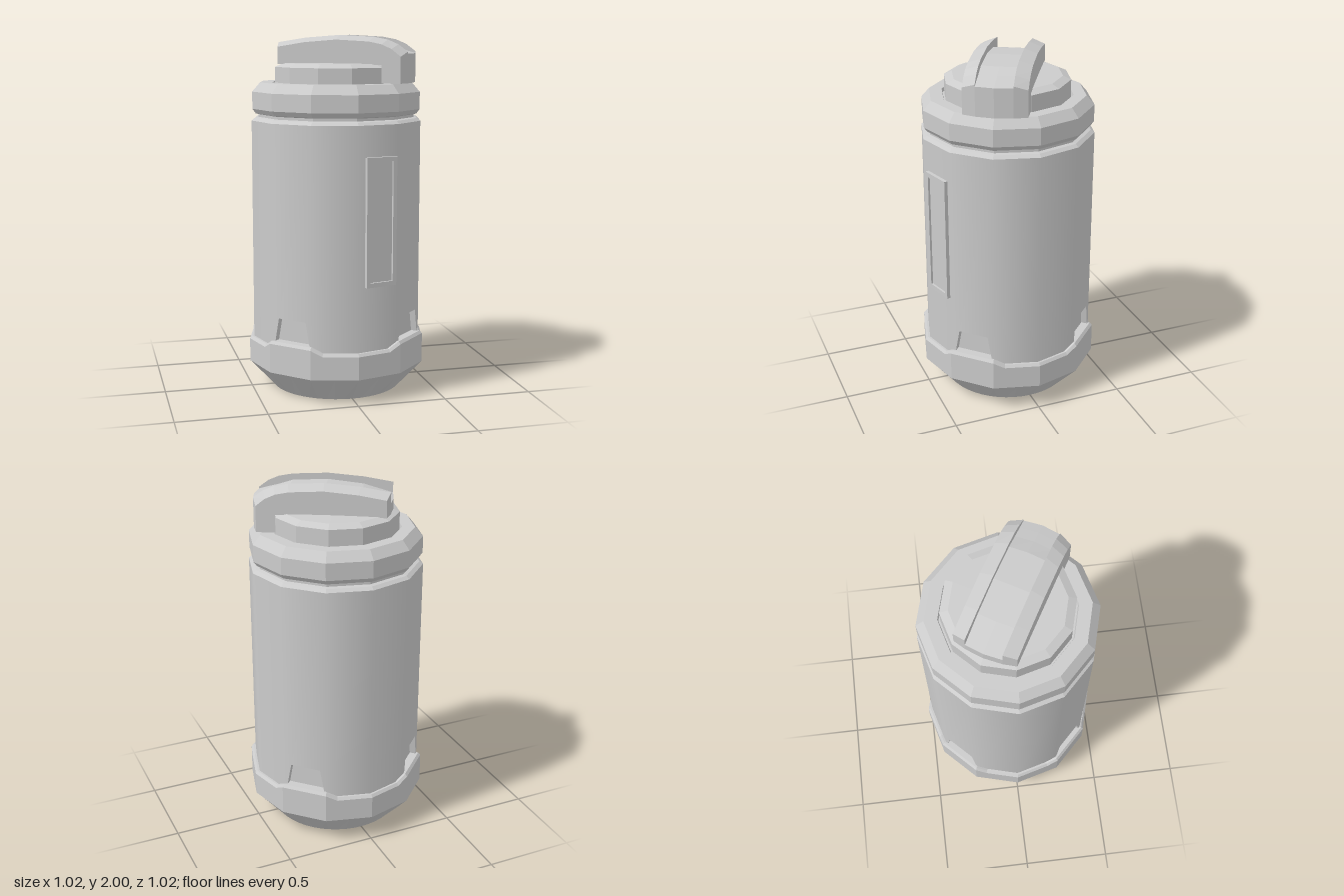
import * as THREE from 'three';

const STEP = Math.PI / 6; // twelve-sided container
const BODY_R = 0.485;
const APOTHEM = BODY_R * Math.cos(STEP / 2);
const flat = new THREE.MeshStandardMaterial({ color: 0xcccccc, flatShading: true });
const smooth = new THREE.MeshStandardMaterial({ color: 0xcccccc });

function addMesh(parent, name, geometry, material = flat) {
  const mesh = new THREE.Mesh(geometry, material);
  mesh.name = name;
  parent.add(mesh);
  return mesh;
}

// Skin closed rings of [x, y, z] points; extra triangles may close the ends
function loft(rings, extra = []) {
  const n = rings[0].length;
  const index = [...extra];
  for (let j = 0; j < rings.length - 1; j++) {
    for (let i = 0; i < n; i++) {
      const k = (i + 1) % n;
      const a = j * n + i, b = j * n + k, c = b + n, d = a + n;
      index.push(a, b, c, a, c, d);
    }
  }
  const g = new THREE.BufferGeometry();
  g.setAttribute('position', new THREE.Float32BufferAttribute(rings.flat(2), 3));
  g.setIndex(index);
  g.computeVertexNormals();
  return g;
}

// Base: round foot widening to a twelve-sided band, raised in front of each notch
function baseGeometry() {
  const PER = 4, N = 12 * PER;
  const ring = (r, yOf, round = false) => Array.from({ length: N }, (_, i) => {
    const facet = Math.floor(i / PER), t = (i % PER) / PER;
    const a0 = facet * STEP, a1 = a0 + STEP, am = (i / PER) * STEP;
    const x = round ? Math.sin(am) : THREE.MathUtils.lerp(Math.sin(a0), Math.sin(a1), t);
    const z = round ? Math.cos(am) : THREE.MathUtils.lerp(Math.cos(a0), Math.cos(a1), t);
    const raised = facet % 3 === 1 || (facet % 3 === 2 && t === 0);
    return [r * x, yOf(raised), r * z];
  });
  const rim = (raised) => (raised ? 0.33 : 0.295);
  return loft([
    ring(0, () => 0, true),
    ring(0.37, () => 0, true),
    ring(0.51, () => 0.15),
    ring(0.51, (r) => rim(r) - 0.015),
    ring(0.497, rim),
    ring(0.43, rim),
  ]);
}

// Body wall: one panel per side, every third one cut by a tapered notch
function addBody(group) {
  const body = new THREE.Group();
  body.name = 'body';
  group.add(body);
  const h = BODY_R * Math.sin(STEP / 2);
  const notch = [[-0.122, 0.27], [0.122, 0.27], [0.087, 0.46], [-0.087, 0.46]];
  for (let i = 0; i < 12; i++) {
    const angle = (i + 0.5) * STEP;
    const notched = i % 3 === 1;
    const outline = [[-h, 0.27]];
    if (notched) outline.push(notch[0], notch[3], notch[2], notch[1]);
    outline.push([h, 0.27], [h, 1.53], [-h, 1.53]);
    const g = new THREE.ShapeGeometry(new THREE.Shape(outline.map((p) => new THREE.Vector2(...p))));
    g.translate(0, 0, APOTHEM);
    // radial normals blend the sides softly
    const pos = g.attributes.position, nor = g.attributes.normal;
    for (let v = 0; v < pos.count; v++) {
      const n = new THREE.Vector3(pos.getX(v), 0, pos.getZ(v)).normalize();
      nor.setXYZ(v, n.x, n.y, n.z);
    }
    addMesh(body, 'bodySide', g, smooth).rotation.y = angle;

    if (notched) {
      const at = (z) => notch.map(([x, y]) => [x, y, z]);
      const back = APOTHEM - 0.035;
      const pocket = loft([at(APOTHEM), at(back), notch.map(() => [0, 0.37, back])]);
      addMesh(body, 'notch', pocket).rotation.y = angle;
    }
  }
}

// Raised frame with a sunken pane on the front
function addWindow(group) {
  const win = new THREE.Group();
  win.name = 'sidePanel';
  win.rotation.y = STEP / 2;
  group.add(win);
  const rect = (S, w, y0, y1) => new S([
    new THREE.Vector2(-w, y0), new THREE.Vector2(w, y0),
    new THREE.Vector2(w, y1), new THREE.Vector2(-w, y1)]);
  const shape = rect(THREE.Shape, 0.093, 0.655, 1.36);
  shape.holes.push(rect(THREE.Path, 0.07, 0.68, 1.335));
  const frame = new THREE.ExtrudeGeometry(shape, { depth: 0.025, bevelEnabled: false });
  addMesh(win, 'panelFrame', frame).position.set(0.01, 0, APOTHEM - 0.005);
  const pane = new THREE.BoxGeometry(0.142, 0.657, 0.016);
  addMesh(win, 'panelPane', pane).position.set(0.01, 1.0075, APOTHEM);
}

// Handle: two rails beside a sunken strip, hooked over the lid at one end
function handleGeometry() {
  const stations = [ // along, rail top, strip top, underside
    [-0.315, 1.96, 1.9, 1.84],
    [-0.15, 1.985, 1.945, 1.84],
    [0.05, 2.0, 1.965, 1.84],
    [0.25, 1.99, 1.955, 1.84],
    [0.33, 1.975, 1.93, 1.84],
    [0.33, 1.975, 1.93, 1.74],
    [0.39, 1.95, 1.915, 1.74],
    [0.445, 1.91, 1.9, 1.74],
  ];
  const rings = stations.map(([a, rail, strip, under]) => {
    const top = [
      [-0.172, rail - 0.025], [-0.1, rail], [-0.1, strip], [0, strip],
      [0.1, strip], [0.1, rail], [0.172, rail - 0.025]];
    const bottom = top.map(([b]) => [b, under]).reverse();
    return [...top, ...bottom].map(([b, y]) => [a * (1 - 2.8 * b * b), y, b]);
  });
  const caps = [];
  const n = rings[0].length, last = n * (rings.length - 1);
  for (let i = 0; i < n / 2 - 1; i++) {
    const a = i, b = i + 1, c = n - 2 - i, d = n - 1 - i;
    caps.push(a, c, b, a, d, c);
    caps.push(last + a, last + b, last + c, last + a, last + c, last + d);
  }
  return loft(rings, caps);
}

export function createModel() {
  const group = new THREE.Group();
  group.name = 'canister';
  const lathe = (pts) => new THREE.LatheGeometry(pts.map((p) => new THREE.Vector2(...p)), 12);

  addMesh(group, 'base', baseGeometry());
  addBody(group);
  addWindow(group);

  // Shoulder groove, collar and lid
  addMesh(group, 'neck', lathe([[BODY_R, 1.53], [0.465, 1.545], [0.445, 1.55], [0.445, 1.57]]));
  addMesh(group, 'collar', lathe([
    [0.445, 1.565], [0.462, 1.57], [0.48, 1.595], [0.48, 1.69], [0.436, 1.74], [0.365, 1.74], [0.36, 1.72], [0.34, 1.72]]));
  addMesh(group, 'lid', lathe([[0.35, 1.715], [0.35, 1.825], [0.305, 1.845], [0, 1.85]]));

  addMesh(group, 'handle', handleGeometry()).rotation.y = -STEP;
  return group;
}
